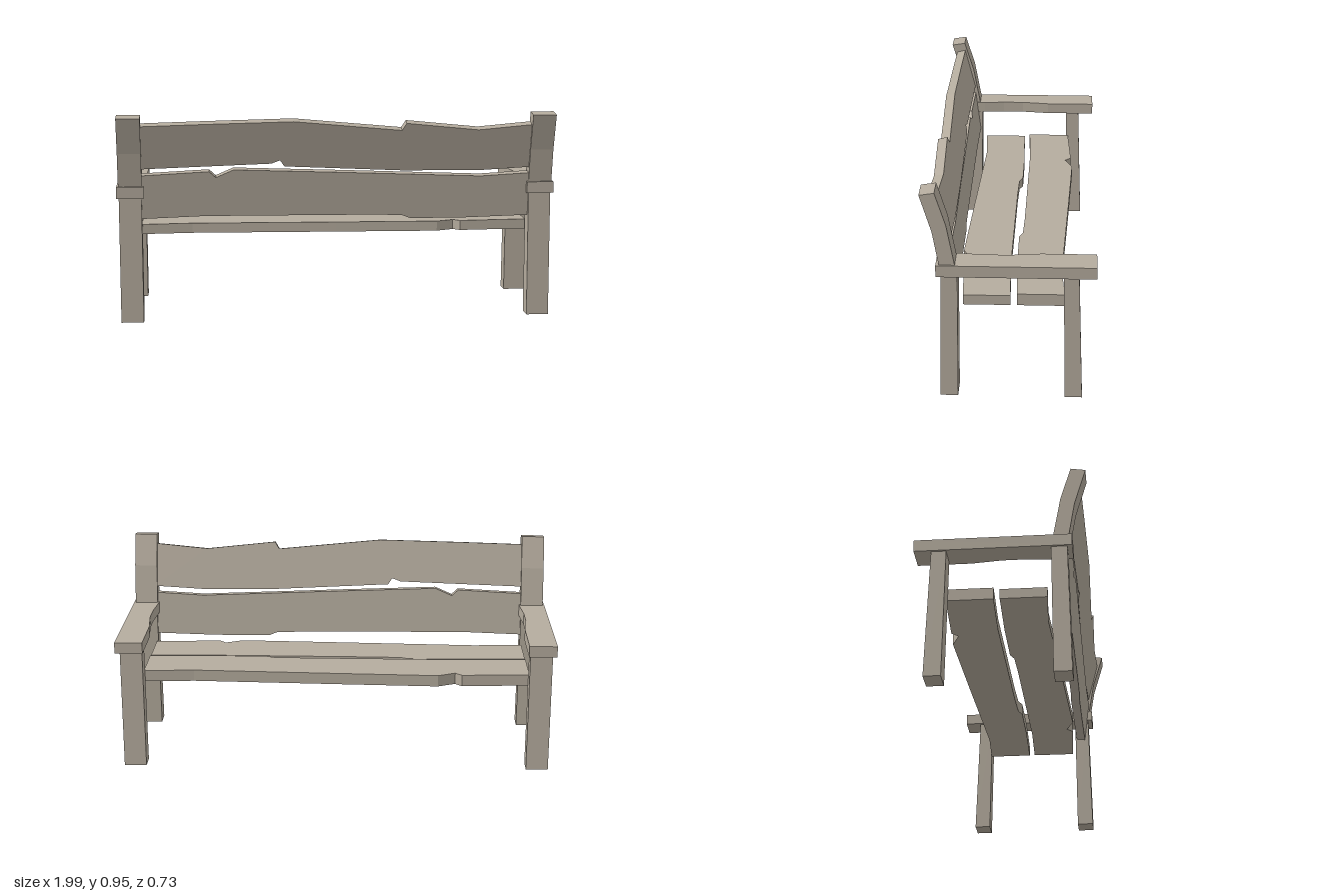
import * as THREE from 'three';

const wood = new THREE.MeshStandardMaterial({ color: 0xb5ac9e });
wood.name = 'weathered wood';

// Extrudes a flat outline, centred on its thickness
function slab(name, points, depth) {
  const shape = new THREE.Shape(points.map(([x, y]) => new THREE.Vector2(x, y)));
  const geo = new THREE.ExtrudeGeometry(shape, { depth, bevelEnabled: false });
  geo.translate(0, 0, -depth / 2);
  const mesh = new THREE.Mesh(geo, wood);
  mesh.name = name;
  return mesh;
}

// Upright piece from a side profile of [z, y] points
function upright(name, profile, x, width) {
  const mesh = slab(name, profile, width);
  mesh.rotation.y = -Math.PI / 2;
  mesh.position.x = x;
  return mesh;
}

// Live-edge plank outlines, shared by the seat and the lower back
const plankA = [
  [-0.89, 0.035], [-0.6, 0.045], [0.15, 0.04], [0.3, 0.036], [0.34, 0.02], [0.6, 0.02], [0.89, 0.028],
  [0.89, 0.23], [0.66, 0.217], [0, 0.243], [-0.47, 0.26], [-0.55, 0.225], [-0.58, 0.253], [-0.89, 0.237],
];
const plankB = [
  [-0.89, 0.71], [-0.3, 0.73], [-0.26, 0.745], [-0.24, 0.716], [0.3, 0.69], [0.66, 0.687], [0.89, 0.7],
  [0.89, 0.903], [0.64, 0.88], [0.31, 0.914], [0.29, 0.881], [-0.2, 0.927], [-0.6, 0.918], [-0.89, 0.91],
];

export function createModel() {
  const bench = new THREE.Group();
  bench.name = 'bench';

  // Seat: two planks, the second turned end for end
  const outerSeat = slab('outerSeatPlank', plankA, 0.053);
  outerSeat.rotation.x = -Math.PI / 2;
  outerSeat.position.y = 0.4165;
  const innerSeat = slab('innerSeatPlank', plankA, 0.045);
  innerSeat.rotation.set(-Math.PI / 2, 0, Math.PI);
  innerSeat.position.set(0, 0.4125, -0.037);
  bench.add(outerSeat, innerSeat);

  // Backrest: two leaning planks
  const lowerBack = slab('lowerBackPlank', plankA.map(([x, y]) => [x, y - 0.14]), 0.043);
  lowerBack.rotation.x = 0.12;
  lowerBack.position.set(0, 0.58, 0.257);
  const upperBack = slab('upperBackPlank', plankB.map(([x, y]) => [x, (y - 0.805) * 1.02]), 0.043);
  upperBack.rotation.x = 0.25;
  upperBack.position.set(0, 0.803, 0.294);
  bench.add(lowerBack, upperBack);

  for (const side of [1, -1]) {
    const end = new THREE.Group();
    end.name = side > 0 ? 'leftEnd' : 'rightEnd';
    const x = side * 0.936;

    // Legs, slightly splayed
    end.add(upright('frontLeg', [[-0.31, 0], [-0.236, 0], [-0.226, 0.576], [-0.29, 0.576]], x, 0.102));
    end.add(upright('backLeg', [[0.22, 0], [0.297, 0], [0.283, 0.576], [0.215, 0.576]], x, 0.102));

    // Bent post that carries the backrest
    end.add(upright('backPost', [
      [0.224, 0.624], [0.29, 0.624], [0.316, 0.777], [0.365, 0.94], [0.302, 0.95], [0.257, 0.805],
    ], x, 0.106));

    // Armrest with a waved inner edge
    const arm = slab('armrest', [
      [0.997, 0.363], [0.997, -0.304], [0.873, -0.304], [0.878, -0.2], [0.887, -0.1],
      [0.887, 0], [0.871, 0.13], [0.871, 0.363],
    ].map(([px, py]) => [px * side, py]), 0.052);
    arm.rotation.x = -Math.PI / 2;
    arm.position.y = 0.6;
    end.add(arm);
    bench.add(end);
  }
  return bench;
}
